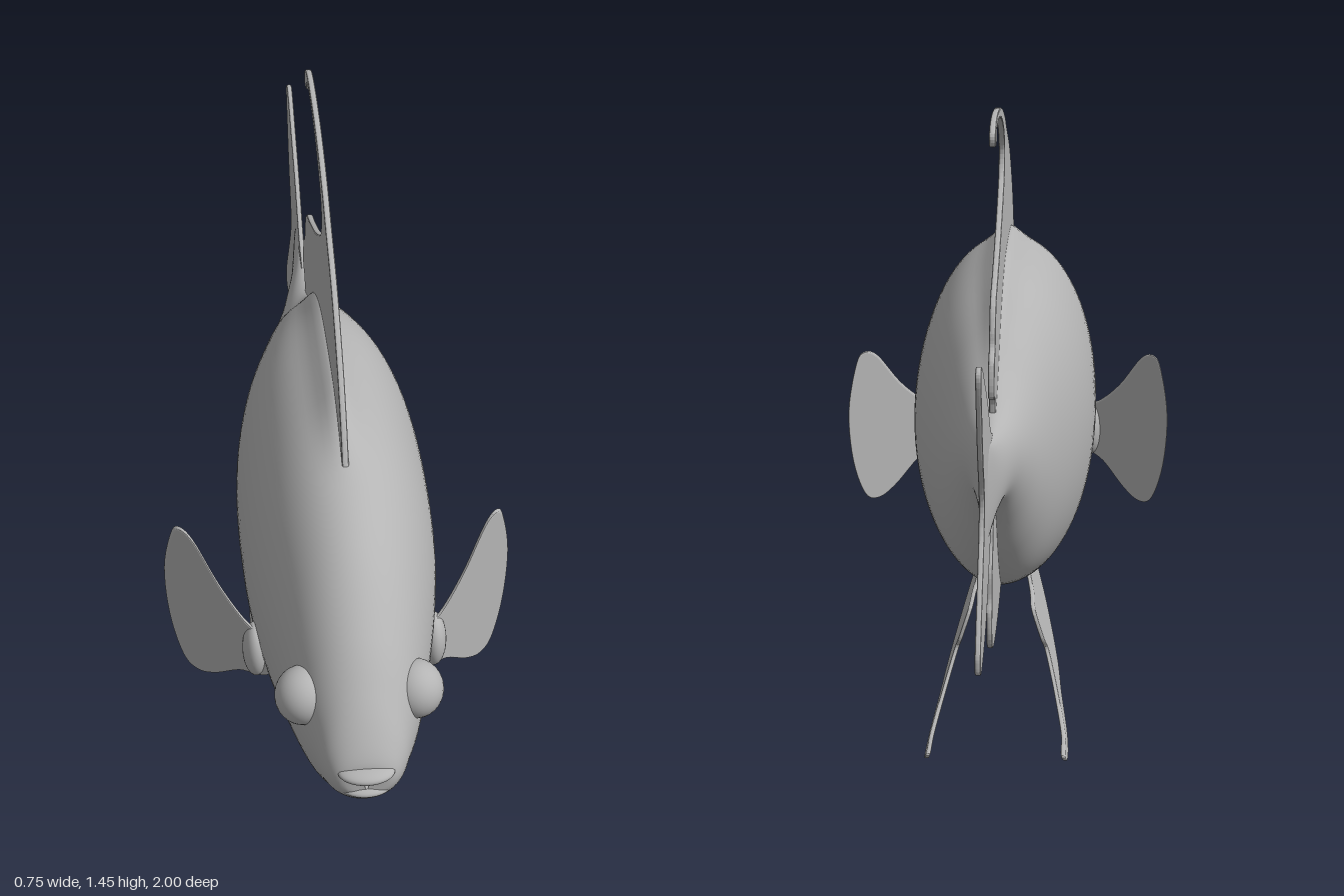
import * as THREE from 'three';
import { ParametricGeometry } from 'three/addons/geometries/ParametricGeometry.js';

const grey = new THREE.MeshStandardMaterial({ color: 0xb4b4b4 });
grey.name = 'plain grey';

// Body stations from nose to tail: z, top y, bottom y, half width
const STATIONS = [
  [0.972, 0.592, 0.562, 0.004], [0.97, 0.625, 0.54, 0.052], [0.94, 0.677, 0.507, 0.08],
  [0.89, 0.742, 0.468, 0.1], [0.81, 0.83, 0.415, 0.128], [0.68, 0.935, 0.362, 0.16],
  [0.52, 1.01, 0.322, 0.19], [0.36, 1.045, 0.297, 0.205], [0.14, 1.05, 0.293, 0.205],
  [-0.02, 1.03, 0.328, 0.185], [-0.18, 0.965, 0.39, 0.143], [-0.29, 0.9, 0.485, 0.108],
  [-0.37, 0.86, 0.585, 0.08], [-0.43, 0.84, 0.645, 0.06], [-0.5, 0.832, 0.668, 0.043],
  [-0.58, 0.835, 0.66, 0.026], [-0.68, 0.85, 0.65, 0.013], [-0.76, 0.83, 0.67, 0.003],
];

function bodyGeometry() {
  const ends = new THREE.CatmullRomCurve3(
    STATIONS.map(([z, top, bottom]) => new THREE.Vector3(top, bottom, z)), false, 'catmullrom');
  const widths = new THREE.CatmullRomCurve3(
    STATIONS.map(s => new THREE.Vector3(s[3], 0, 0)), false, 'catmullrom');
  const p = new THREE.Vector3(), w = new THREE.Vector3();
  return new ParametricGeometry((u, v, target) => {
    ends.getPoint(v, p);
    widths.getPoint(v, w);
    const a = u * Math.PI * 2, c = Math.cos(a);
    // Soft ridge along the back that flows into the dorsal fin
    const ridge = 0.035 * THREE.MathUtils.smoothstep(p.z, -0.4, -0.1)
      * (1 - THREE.MathUtils.smoothstep(p.z, 0.3, 0.55));
    const y = (p.x + p.y) / 2 + c * (p.x - p.y) / 2 + ridge * Math.pow(Math.max(c, 0), 60);
    target.set(Math.max(w.x, 0.002) * Math.sin(a), y, p.z);
  }, 96, 90);
}

// Thin plate from a smooth closed outline, centred on its own plane
function plate(points, thickness) {
  const curve = new THREE.SplineCurve([...points, points[0]].map(([a, b]) => new THREE.Vector2(a, b)));
  const shape = new THREE.Shape(curve.getPoints(points.length * 5).slice(0, -1));
  const bevel = thickness / 3;
  const geometry = new THREE.ExtrudeGeometry(shape, {
    depth: thickness - 2 * bevel, bevelEnabled: true, bevelThickness: bevel,
    bevelSize: 0.003, bevelOffset: -0.003, bevelSegments: 2,
  });
  return geometry.translate(0, 0, bevel - thickness / 2);
}

// Upright fin given by z, y points
const uprightFin = (points, thickness) =>
  plate(points.map(([z, y]) => [-z, y]), thickness).rotateY(Math.PI / 2);

// Move every vertex by a rule
function bend(geometry, rule) {
  const pos = geometry.attributes.position, v = new THREE.Vector3();
  for (let i = 0; i < pos.count; i++) {
    rule(v.fromBufferAttribute(pos, i));
    pos.setXYZ(i, v.x, v.y, v.z);
  }
  geometry.computeVertexNormals();
  return geometry;
}

const DORSAL = [
  [0.515, 1.0], [0.46, 1.09], [0.38, 1.18], [0.25, 1.28], [0.115, 1.345], [0.01, 1.395],
  [-0.125, 1.435], [-0.26, 1.452], [-0.35, 1.45], [-0.4, 1.43], [-0.397, 1.403], [-0.36, 1.405],
  [-0.34, 1.431], [-0.26, 1.435], [-0.135, 1.413], [-0.03, 1.372], [0.02, 1.325], [0.013, 1.275],
  [-0.035, 1.235], [-0.15, 1.17], [-0.285, 1.11], [-0.37, 1.075], [-0.405, 1.02], [-0.415, 0.985],
  [-0.45, 0.955], [-0.457, 0.89], [-0.42, 0.872], [-0.4, 0.82], [-0.3, 0.85], [-0.15, 0.93],
  [0.1, 1.0], [0.4, 0.98],
];
const TAIL = [
  [-0.47, 0.82], [-0.53, 0.835], [-0.61, 0.87], [-0.715, 0.955], [-0.825, 1.025], [-0.905, 1.075],
  [-0.943, 1.083], [-0.957, 1.06], [-0.93, 0.98], [-0.89, 0.885], [-0.84, 0.8], [-0.845, 0.735],
  [-0.905, 0.65], [-0.985, 0.545], [-1, 0.505], [-0.985, 0.48], [-0.905, 0.485], [-0.795, 0.515],
  [-0.69, 0.58], [-0.61, 0.635], [-0.53, 0.665], [-0.47, 0.68],
];
const ANAL = [
  [-0.42, 0.65], [-0.455, 0.632], [-0.49, 0.615], [-0.5, 0.58], [-0.53, 0.53], [-0.535, 0.475],
  [-0.55, 0.44], [-0.545, 0.38], [-0.5, 0.355], [-0.42, 0.345], [-0.285, 0.35], [-0.155, 0.372],
  [-0.1, 0.42], [-0.25, 0.53], [-0.35, 0.66],
];
const PELVIC = [
  [0.31, 0.3], [0.265, 0.23], [0.195, 0.165], [0.09, 0.1], [-0.02, 0.065], [-0.125, 0.02],
  [-0.205, 0.004], [-0.272, 0.006], [-0.275, 0.025], [-0.18, 0.03], [-0.1, 0.07], [-0.035, 0.115],
  [0.01, 0.16], [0, 0.19], [0.015, 0.255], [0.09, 0.275], [0.17, 0.32], [0.25, 0.33],
];
// Side fin in x, y
const PECTORAL = [
  [0.17, 0.6], [0.21, 0.615], [0.26, 0.67], [0.31, 0.75], [0.34, 0.765], [0.357, 0.735],
  [0.373, 0.63], [0.365, 0.51], [0.34, 0.42], [0.31, 0.4], [0.273, 0.42], [0.223, 0.47],
  [0.185, 0.488], [0.16, 0.52],
];

export function createModel() {
  const fish = new THREE.Group();
  fish.name = 'fish';
  const add = (name, geometry) => {
    const mesh = new THREE.Mesh(geometry, grey);
    mesh.name = name;
    fish.add(mesh);
    return mesh;
  };
  const ellipsoid = (name, size, position) => {
    const mesh = add(name, new THREE.SphereGeometry(1, 32, 20));
    mesh.scale.set(...size);
    mesh.position.set(...position);
  };

  add('body', bodyGeometry());
  ellipsoid('upperLip', [0.058, 0.017, 0.04], [0, 0.601, 0.96]);
  ellipsoid('lowerLip', [0.056, 0.015, 0.04], [0, 0.552, 0.943]);

  // Fins on the centre line
  add('dorsalFin', uprightFin(DORSAL, 0.014));
  add('tailFin', uprightFin(TAIL, 0.012));
  add('analFin', uprightFin(ANAL, 0.012));

  // Mirrored parts
  for (const [side, s] of [['left', 1], ['right', -1]]) {
    ellipsoid(side + 'Eye', [0.058, 0.062, 0.06], [s * 0.114, 0.68, 0.81]);
    // Pelvic fins splay outwards as they go down
    add(side + 'PelvicFin', bend(uprightFin(PELVIC, 0.01), v => {
      v.x += s * (0.06 + (0.29 - v.y) * 0.33);
    }));
    // Pectoral fins sweep back; mirrored by turning the plate over
    const fin = plate(PECTORAL, 0.014);
    if (s < 0) fin.rotateY(Math.PI);
    add(side + 'PectoralFin', bend(fin, v => {
      v.z += 0.5 - (Math.abs(v.x) - 0.2) * 1.06;
    }));
    ellipsoid(side + 'PectoralRoot', [0.028, 0.065, 0.045], [s * 0.19, 0.545, 0.5]);
  }
  return fish;
}
